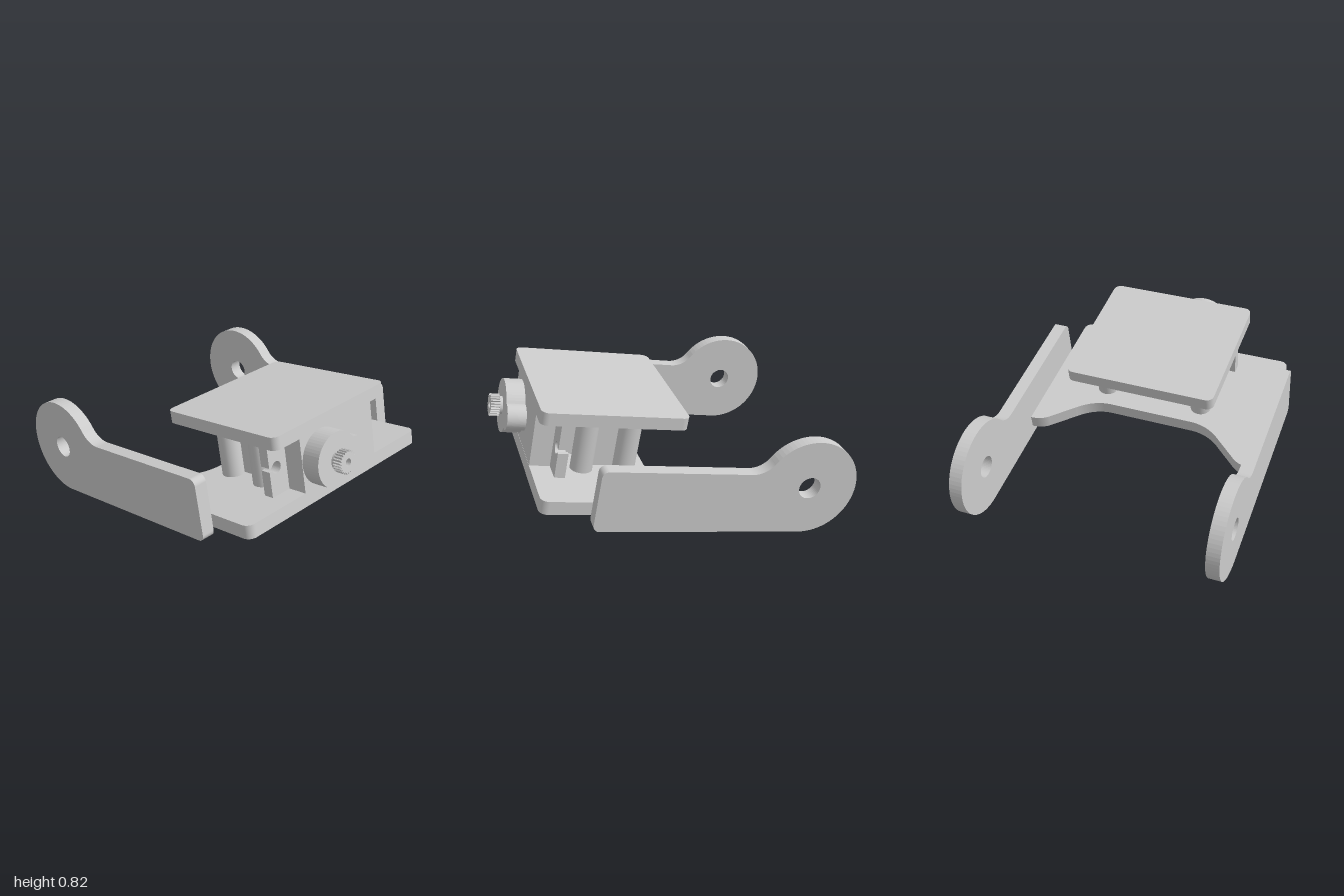
import * as THREE from 'three';

const material = new THREE.MeshStandardMaterial({ color: 0xcccccc });

function add(parent, name, geometry, x = 0, y = 0, z = 0) {
  const mesh = new THREE.Mesh(geometry, material);
  mesh.name = name;
  mesh.position.set(x, y, z);
  parent.add(mesh);
  return mesh;
}

const extrude = (shape, depth) =>
  new THREE.ExtrudeGeometry(shape, { depth, bevelEnabled: false, curveSegments: 24 });

// Extrusions lying flat (depth along +y) or facing the knob end (depth along +x)
const flat = (shape, depth) => extrude(shape, depth).rotateX(-Math.PI / 2);
const endOn = (shape, depth) => extrude(shape, depth).rotateY(Math.PI / 2);

function roundedRect(x0, y0, x1, y1, r) {
  const s = new THREE.Shape();
  s.absarc(x1 - r, y1 - r, r, 0, Math.PI / 2);
  s.absarc(x0 + r, y1 - r, r, Math.PI / 2, Math.PI);
  s.absarc(x0 + r, y0 + r, r, Math.PI, Math.PI * 1.5);
  s.absarc(x1 - r, y0 + r, r, Math.PI * 1.5, Math.PI * 2);
  return s;
}

// Side arm: round pivot head, filleted into a straight bar
function armShape() {
  const R = 0.295, top = 0.08, fx = 0.38, fr = 0.148, end = 1.25, r = 0.04;
  const a = Math.atan2(top + fr, fx);
  const s = new THREE.Shape();
  s.absarc(end - r, -R + r, r, -Math.PI / 2, 0);
  s.absarc(end - r, top - r, r, 0, Math.PI / 2);
  s.absarc(fx, top + fr, fr, -Math.PI / 2, a - Math.PI, true);
  s.absarc(0, 0, R, a, Math.PI * 1.5);
  s.holes.push(new THREE.Path().absarc(0, 0, 0.067, 0, Math.PI * 2, true));
  return s;
}

// Base plate: rounded at the knob end, scooped out between two horns at the other
function baseShape() {
  const w = 0.73, end = 1.538, r = 0.05;
  const s = new THREE.Shape();
  s.moveTo(0.578, -w);
  s.absarc(end - r, -w + r, r, -Math.PI / 2, 0);
  s.absarc(end - r, w - r, r, 0, Math.PI / 2);
  s.lineTo(0.578, w);
  s.quadraticCurveTo(0.58, 0.655, 0.62, 0.615);
  s.lineTo(0.74, 0.485);
  s.quadraticCurveTo(0.835, 0.39, 0.835, 0.27);
  s.lineTo(0.835, -0.27);
  s.quadraticCurveTo(0.835, -0.39, 0.74, -0.485);
  s.lineTo(0.62, -0.615);
  s.quadraticCurveTo(0.58, -0.655, 0.578, -w);
  return s;
}

// Cross wall whose two ends carry a round hole with a slit to the outside
function lugShape(bottom, top) {
  const w = 0.44, hole = 0.385, r = 0.035, slit = 0.012, cy = 0.01;
  const a = Math.asin(slit / r);
  const s = new THREE.Shape();
  s.moveTo(-w, bottom);
  s.lineTo(w, bottom);
  s.lineTo(w, cy - slit);
  s.absarc(hole, cy, r, -a, a, true);
  s.lineTo(w, cy + slit);
  s.lineTo(w, top);
  s.lineTo(-w, top);
  s.lineTo(-w, cy + slit);
  s.absarc(-hole, cy, r, Math.PI - a, Math.PI + a, true);
  s.lineTo(-w, cy - slit);
  return s;
}

// Large disc merged with a smaller side lobe
function knobShape() {
  const R = 0.163, r = 0.08, d = 0.155;
  const a = (d * d + R * R - r * r) / (2 * d);
  const h = Math.sqrt(R * R - a * a);
  const big = Math.atan2(h, a), small = Math.atan2(h, a - d);
  const s = new THREE.Shape();
  s.absarc(0, 0, R, big, Math.PI * 2 - big);
  s.absarc(d, 0, r, -small, small);
  return s;
}

// Knurled ring with a bore
function splineShape(teeth, outer, inner, bore) {
  const s = new THREE.Shape();
  for (let i = 0; i < teeth * 4; i++) {
    const a = (i / (teeth * 4)) * Math.PI * 2;
    const r = i % 4 < 2 ? outer : inner;
    s[i ? 'lineTo' : 'moveTo'](r * Math.cos(a), r * Math.sin(a));
  }
  s.holes.push(new THREE.Path().absarc(0, 0, bore, 0, Math.PI * 2, true));
  return s;
}

export function createModel() {
  const model = new THREE.Group();
  model.name = 'pivotBracket';
  model.rotation.y = -0.005;

  // Everything is built level, around the arm pivot, then tilted
  const tilted = new THREE.Group();
  tilted.name = 'tiltedAssembly';
  tilted.position.set(-0.705, 0.297, 0);
  tilted.rotation.z = THREE.MathUtils.degToRad(10.7);
  model.add(tilted);

  const baseTop = -0.155, lidBottom = 0.172, gap = lidBottom - baseTop;
  const midY = (baseTop + lidBottom) / 2, midZ = -0.025;

  // Arms
  add(tilted, 'frontArm', extrude(armShape(), 0.08), 0, 0, 0.73);
  add(tilted, 'rearArm', extrude(armShape(), 0.08), 0, 0, -0.81);

  // Plates
  add(tilted, 'basePlate', flat(baseShape(), 0.081), 0, -0.236, 0);
  add(tilted, 'topPlate', flat(roundedRect(0.67, -0.47, 1.538, 0.47, 0.045), 0.076), 0, lidBottom, 0);

  // Housing between the plates
  add(tilted, 'housingBody', new THREE.BoxGeometry(0.255, gap, 0.56), 1.107, midY, midZ);
  add(tilted, 'housingCore', new THREE.BoxGeometry(0.14, gap, 0.3), 1.295, midY, midZ);
  add(tilted, 'housingEnd', new THREE.BoxGeometry(0.122, gap, 0.61), 1.476, midY, midZ);
  add(tilted, 'slottedLugs', endOn(lugShape(baseTop, lidBottom), 0.062), 1.354, 0, midZ);
  for (const side of [1, -1]) {
    for (const x of [0.98, 1.235]) {
      add(tilted, 'column', new THREE.CylinderGeometry(0.066, 0.066, gap, 32), x, midY, midZ + side * 0.32);
    }
  }

  // Knob and knurled shaft
  const knob = new THREE.Group();
  knob.name = 'knob';
  knob.position.set(1.538, 0.01, 0.115);
  tilted.add(knob);
  add(knob, 'knobBody', endOn(knobShape(), 0.112));
  const neck = new THREE.Shape().absarc(0, 0, 0.055, 0, Math.PI * 2);
  add(knob, 'shaftNeck', endOn(neck, 0.035), 0.11);
  add(knob, 'knurledShaft', endOn(splineShape(24, 0.068, 0.058, 0.022), 0.055), 0.13);

  return model;
}
